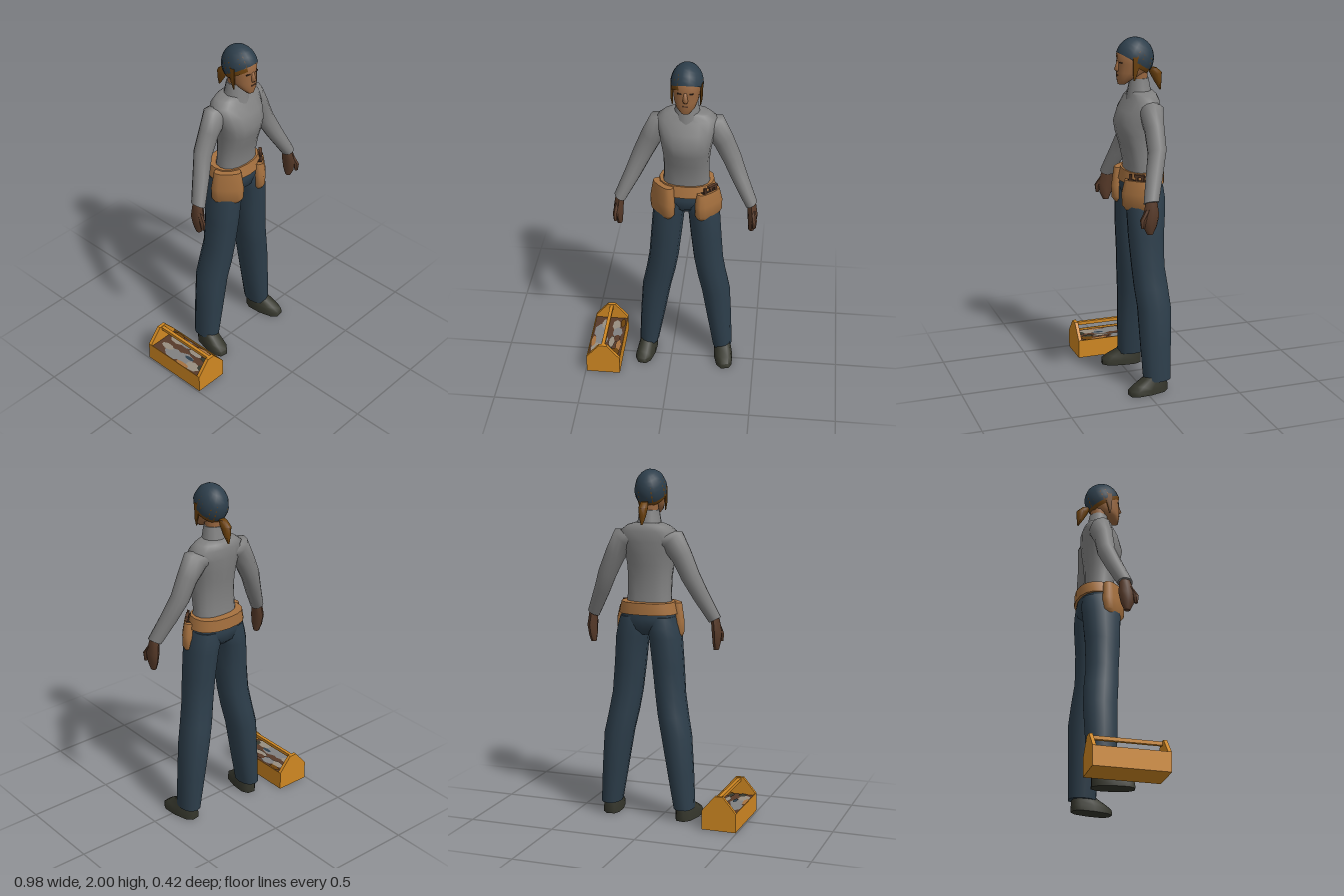
import * as THREE from 'three';
import { toCreasedNormals } from 'three/addons/utils/BufferGeometryUtils.js';

const paint = (name, color, side = THREE.FrontSide) => {
  const m = new THREE.MeshStandardMaterial({ color, side });
  m.name = name;
  return m;
};

// Closed skin over rings listed bottom to top: [x, y, zFront, zBack, halfWidth, roll]
function loft(rings, { sides = 12, power = 1, flip = 1, crease = 0.9 } = {}) {
  const pos = [], idx = [];
  const bend = (v) => Math.sign(v) * Math.abs(v) ** power;
  for (const [x, y, zf, zb, rx, roll = 0] of rings) {
    for (let j = 0; j < sides; j++) {
      const a = (j / sides) * Math.PI * 2;
      const u = bend(Math.cos(a)) * rx;
      const w = bend(Math.sin(a)) * (zf - zb) / 2;
      pos.push(x * flip + u * Math.cos(roll), y + u * Math.sin(roll * flip), (zf + zb) / 2 + w);
    }
  }
  for (let i = 0; i < rings.length - 1; i++) {
    for (let j = 0; j < sides; j++) {
      const a = i * sides + j, b = i * sides + (j + 1) % sides;
      idx.push(a, a + sides, b + sides, a, b + sides, b);
    }
  }
  const last = (rings.length - 1) * sides, n = rings.length * sides;
  for (const r of [rings[0], rings[rings.length - 1]]) pos.push(r[0] * flip, r[1], (r[2] + r[3]) / 2);
  for (let j = 0; j < sides; j++) {
    const k = (j + 1) % sides;
    idx.push(n, j, k, n + 1, last + k, last + j);
  }
  const g = new THREE.BufferGeometry();
  g.setAttribute('position', new THREE.Float32BufferAttribute(pos, 3));
  g.setIndex(idx);
  return toCreasedNormals(g, crease);
}

export function createModel() {
  const navy = paint('navy cloth', 0x2d3e4b, THREE.DoubleSide);
  const grey = paint('grey shirt', 0x808080);
  const tan = paint('tan leather', 0xa6713f);
  const skin = paint('skin', 0x97663f);
  const brown = paint('dark brown', 0x573a29);
  const boot = paint('boot', 0x35362c);
  const hairMat = paint('hair', 0x6b410d, THREE.DoubleSide);
  const wood = paint('toolbox orange', 0xcf8722);
  const pale = paint('pale metal', 0x978d7f);
  const dark = paint('dark detail', 0x3a2a20);

  const model = new THREE.Group();
  model.name = 'worker with toolbox';
  const worker = new THREE.Group();
  worker.name = 'worker';
  worker.position.x = 0.08;
  model.add(worker);

  const add = (name, geo, mat, parent = worker) => {
    const m = new THREE.Mesh(geo, mat);
    m.name = name;
    parent.add(m);
    return m;
  };
  const box = (name, size, at, mat, parent) => {
    const m = add(name, new THREE.BoxGeometry(...size), mat, parent);
    m.position.set(...at);
    return m;
  };

  // Torso, collar and hips
  add('torso', loft([
    [0, 1.22, 0.045, -0.125, 0.135], [0, 1.30, 0.045, -0.115, 0.128],
    [0, 1.40, 0.068, -0.115, 0.128], [0, 1.47, 0.09, -0.122, 0.135],
    [0, 1.53, 0.1, -0.13, 0.145], [0, 1.60, 0.075, -0.135, 0.16],
    [0, 1.66, 0.035, -0.135, 0.165], [0, 1.69, 0.02, -0.125, 0.125], [0, 1.705, 0.015, -0.11, 0.075],
  ], { sides: 16, power: 0.85, crease: 1.2 }), grey);
  add('neckCollar', loft([
    [0, 1.65, 0.04, -0.12, 0.085], [0, 1.70, 0.028, -0.105, 0.07], [0, 1.775, 0.015, -0.09, 0.058],
  ]), grey);
  add('hips', loft([
    [0, 1.075, 0.02, -0.11, 0.08], [0, 1.11, 0.055, -0.15, 0.15],
    [0, 1.17, 0.065, -0.16, 0.165], [0, 1.24, 0.05, -0.15, 0.145],
  ], { sides: 16, power: 0.9, crease: 1.3 }), navy);
  add('belt', loft([
    [0, 1.195, 0.07, -0.17, 0.17], [0, 1.262, 0.055, -0.168, 0.155],
  ], { sides: 16, power: 0.85 }), tan);

  // Limbs and pouches, mirrored
  for (const flip of [1, -1]) {
    const side = flip > 0 ? 'left' : 'right';
    add(side + 'Leg', loft([
      [0.223, 0.07, 0.012, -0.15, 0.058], [0.2, 0.28, 0.022, -0.158, 0.073],
      [0.175, 0.49, 0.03, -0.165, 0.085], [0.15, 0.61, 0.042, -0.155, 0.086],
      [0.13, 0.73, 0.05, -0.14, 0.086], [0.114, 0.9, 0.063, -0.142, 0.089],
      [0.1, 1.06, 0.07, -0.155, 0.091], [0.085, 1.12, 0.068, -0.157, 0.094],
      [0.08, 1.18, 0.06, -0.15, 0.083],
    ], { flip, power: 0.9 }), navy);
    const foot = add(side + 'Boot', loft([
      [0, 0, 0.122, -0.12, 0.055], [0, 0.03, 0.12, -0.12, 0.055],
      [0, 0.055, 0.085, -0.118, 0.051], [0, 0.085, 0.03, -0.115, 0.045], [0, 0.12, 0, -0.11, 0.042],
    ], { sides: 10, power: 0.75, crease: 1.1 }), boot);
    foot.position.set(0.233 * flip, 0, -0.012);
    foot.rotation.y = 0.16 * flip;

    add(side + 'Sleeve', loft([
      [0.37, 1.16, 0.068, -0.02, 0.036, 0.5], [0.3, 1.3, 0.03, -0.07, 0.047, 0.5],
      [0.25, 1.41, 0, -0.105, 0.055, 0.48], [0.2, 1.52, 0, -0.11, 0.062, 0.6],
      [0.145, 1.61, 0.01, -0.125, 0.075, 0.75], [0.08, 1.615, 0, -0.115, 0.055, 1.2],
    ], { flip, crease: 1.2 }), grey);
    add(side + 'Hand', loft([
      [0.375, 0.988, 0.05, 0.015, 0.016], [0.378, 1.03, 0.07, -0.005, 0.023],
      [0.38, 1.09, 0.077, -0.018, 0.028], [0.37, 1.17, 0.055, -0.01, 0.025],
    ], { flip, sides: 8 }), brown);
    add(side + 'Thumb', loft([
      [0.392, 1.03, 0.09, 0.07, 0.01], [0.392, 1.075, 0.096, 0.06, 0.015], [0.382, 1.13, 0.06, 0.03, 0.015],
    ], { flip, sides: 6 }), brown);

    const pouch = new THREE.Group();
    pouch.name = side + 'Pouch';
    pouch.position.set(0.128 * flip, 1.15, 0.018);
    pouch.rotation.y = 0.8 * flip;
    worker.add(pouch);
    const top = flip > 0 ? 0.075 : 0.105;
    add('pouchBody', loft([
      [0, -0.098, 0.025, -0.03, 0.068], [0, -0.07, 0.04, -0.035, 0.09],
      [0, 0, 0.042, -0.035, 0.092], [0, top, 0.03, -0.035, 0.076],
    ], { power: 0.75 }), tan, pouch);
    if (flip > 0) {
      box('pouchOpening', [0.1, 0.006, 0.035], [0, top, 0], dark, pouch);
      for (const x of [-0.035, 0.005, 0.04]) box('toolHandle', [0.014, 0.05, 0.014], [x, top + 0.008, 0.012], brown, pouch);
      box('hammerHead', [0.06, 0.014, 0.018], [0.02, top + 0.028, 0.012], brown, pouch);
    }
  }

  // Head and face
  add('neck', loft([[0, 1.75, 0.01, -0.085, 0.052], [0, 1.83, 0.01, -0.085, 0.052]]), skin);
  add('head', loft([
    [0, 1.745, 0.085, 0.04, 0.024], [0, 1.775, 0.09, 0.0, 0.052], [0, 1.81, 0.091, -0.075, 0.068],
    [0, 1.86, 0.087, -0.1, 0.076], [0, 1.91, 0.09, -0.1, 0.079], [0, 1.95, 0.06, -0.08, 0.06],
  ], { sides: 16, power: 0.92, crease: 1.2 }), skin);
  add('nose', loft([
    [0, 1.815, 0.094, 0.07, 0.013], [0, 1.827, 0.107, 0.065, 0.015], [0, 1.875, 0.091, 0.065, 0.009],
  ], { sides: 8, crease: 1.5 }), skin);
  box('lips', [0.03, 0.007, 0.006], [0, 1.795, 0.089], brown);
  for (const s of [1, -1]) {
    box('eye', [0.022, 0.006, 0.008], [0.032 * s, 1.867, 0.08], dark).rotation.y = 0.3 * s;
    add('sideLock', loft([
      [0.076, 1.77, 0.02, 0.012, 0.003], [0.08, 1.81, 0.026, 0, 0.007], [0.08, 1.9, 0.03, -0.03, 0.008],
    ], { flip: s, sides: 6 }), hairMat);
  }

  // Cap and the hair below it are tilted domes
  const dome = (phi, sweep, drop, size) => new THREE.SphereGeometry(1, 14, 8, phi, sweep, 0, Math.PI * drop)
    .rotateX(-0.5).scale(0.09 * size, 0.115 * size, 0.108 * size).translate(0, 1.885, -0.013);
  add('cap', dome(0, Math.PI * 2, 0.56, 1), navy);
  add('hair', dome(Math.PI - 0.2, Math.PI + 1.3, 0.63, 0.98), hairMat);
  add('ponytail', loft([
    [0, 1.70, -0.158, -0.166, 0.006], [0, 1.745, -0.128, -0.17, 0.02],
    [0, 1.795, -0.1, -0.172, 0.028], [0, 1.825, -0.09, -0.14, 0.02],
  ], { sides: 8 }), hairMat);

  // Toolbox
  const toolbox = new THREE.Group();
  toolbox.name = 'toolbox';
  toolbox.position.x = -0.393;
  model.add(toolbox);
  const end = new THREE.Shape([[-0.1, 0], [0.1, 0], [0.1, 0.11], [0.024, 0.2], [-0.024, 0.2], [-0.1, 0.11]]
    .map(([x, y]) => new THREE.Vector2(x, y)));
  for (const z of [-0.21, 0.19]) {
    add('endPanel', new THREE.ExtrudeGeometry(end, { depth: 0.02, bevelEnabled: false }), wood, toolbox).position.z = z;
  }
  for (const s of [1, -1]) box('sidePanel', [0.004, 0.11, 0.38], [0.098 * s, 0.055, 0], wood, toolbox);
  box('floor', [0.194, 0.01, 0.38], [0, 0.005, 0], wood, toolbox);
  box('handle', [0.02, 0.02, 0.38], [0, 0.185, 0], wood, toolbox);

  // Jumbled tools seen in the open top: [x, z, halfWidth, halfDepth, material]
  box('toolPile', [0.192, 0.08, 0.38], [0, 0.058, 0], brown, toolbox);
  const patches = [
    [-0.05, -0.05, 0.04, 0.07, grey], [-0.035, 0.03, 0.04, 0.06, grey], [-0.055, 0.11, 0.034, 0.05, pale],
    [-0.03, -0.12, 0.022, 0.045, pale], [-0.08, 0.05, 0.014, 0.05, tan], [-0.03, 0.16, 0.025, 0.028, boot],
    [-0.02, 0.05, 0.012, 0.035, navy], [0.04, -0.11, 0.025, 0.05, pale], [0.055, -0.04, 0.03, 0.05, grey],
    [0.03, 0.05, 0.02, 0.055, pale], [0.075, 0.08, 0.018, 0.06, tan], [0.055, 0.145, 0.036, 0.04, hairMat],
    [0.028, 0.13, 0.016, 0.035, boot], [0.078, -0.13, 0.016, 0.045, hairMat], [0.06, 0.02, 0.02, 0.035, brown],
  ];
  patches.forEach(([x, z, w, d, mat], i) => {
    const g = new THREE.CircleGeometry(1, 7, i).rotateX(-Math.PI / 2).scale(w, 1, d);
    add('toolPatch', g, mat, toolbox).position.set(x, 0.0995 + i * 0.0006, z);
  });
  return model;
}
